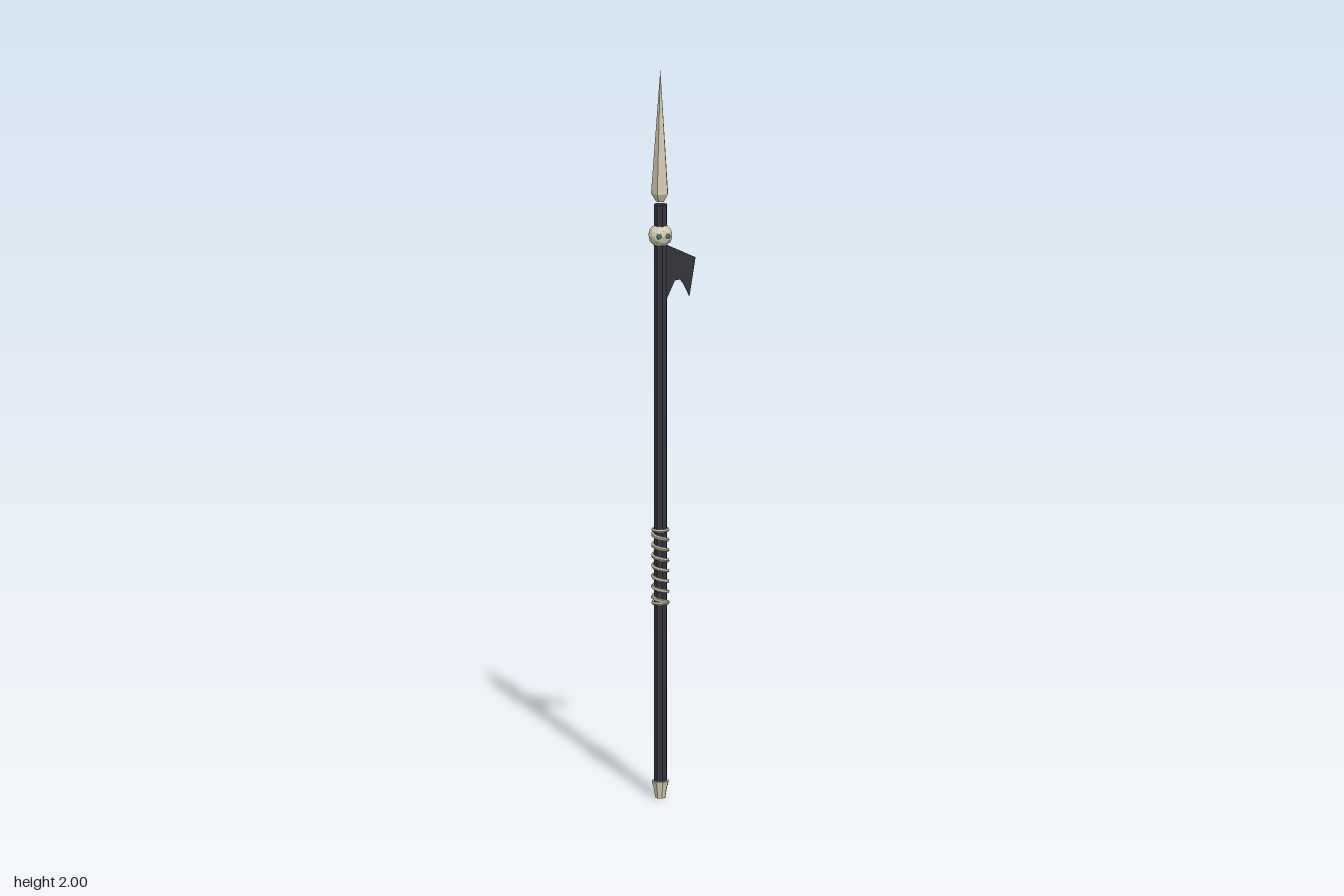
import * as THREE from 'three';

const mat = (name, color) => {
  const m = new THREE.MeshStandardMaterial({ color, flatShading: true });
  m.name = name;
  return m;
};

export function createModel() {
  const bone = mat('bone', 0xd4cab2);
  const wood = mat('dark wood', 0x35353c);
  const cloth = mat('charcoal cloth', 0x353539);
  const cord = mat('cord', 0xb9b09a);
  const teal = mat('teal', 0x5cb8a2);
  cloth.side = THREE.DoubleSide;

  const root = new THREE.Group();
  root.name = 'spear';
  const spear = new THREE.Group();
  spear.name = 'spearBody';
  spear.position.set(-0.033, 0, -0.003);
  root.add(spear);

  const add = (name, geo, material, x = 0, y = 0, z = 0) => {
    const mesh = new THREE.Mesh(geo, material);
    mesh.name = name;
    mesh.position.set(x, y, z);
    spear.add(mesh);
    return mesh;
  };

  // Shaft and foot cap with a flared collar
  add('shaft', new THREE.CylinderGeometry(0.018, 0.018, 1.595, 8), wood, 0, 0.8325);
  add('footCollar', new THREE.CylinderGeometry(0.024, 0.021, 0.013, 8), bone, 0, 0.0405);
  add('footCap', new THREE.CylinderGeometry(0.02, 0.014, 0.035, 8), bone, 0, 0.0175);

  // Five-sided spear point with a short tapered base
  const point = add('spearPoint', new THREE.ConeGeometry(0.025, 0.34, 5), bone, 0, 1.83);
  const base = add('pointBase', new THREE.CylinderGeometry(0.025, 0.012, 0.022, 5), bone, 0, 1.649);
  point.rotation.y = base.rotation.y = Math.PI;

  // Skull with two glowing eyes
  add('skull', new THREE.IcosahedronGeometry(0.033, 1), bone, 0, 1.545);
  for (const side of [-1, 1]) {
    add('eye', new THREE.IcosahedronGeometry(0.0078, 0), teal, side * 0.012, 1.547, 0.0285);
  }

  // Cord wound around the grip
  const turns = 7, path = [];
  for (let i = 0; i <= turns * 10; i++) {
    const a = (i / 10) * Math.PI * 2;
    path.push(new THREE.Vector3(Math.cos(a) * 0.02, 0.536 + (0.2 * i) / (turns * 10), Math.sin(a) * 0.02));
  }
  add('gripCord', new THREE.TubeGeometry(new THREE.CatmullRomCurve3(path), turns * 12, 0.0055, 5), cord);
  for (const y of [0.536, 0.736]) {
    const ring = add('gripRing', new THREE.TorusGeometry(0.02, 0.005, 5, 12), cord, 0, y);
    ring.rotation.x = Math.PI / 2;
  }

  // Torn pennant below the skull
  const flag = new THREE.Shape([
    [0.012, 1.52], [0.098, 1.478], [0.081, 1.372], [0.064, 1.408],
    [0.054, 1.42], [0.04, 1.418], [0.029, 1.394], [0.016, 1.366],
  ].map(([x, y]) => new THREE.Vector2(x, y)));
  add('pennant', new THREE.ExtrudeGeometry(flag, { depth: 0.004, bevelEnabled: false }), cloth, 0, 0, -0.002);

  return root;
}
